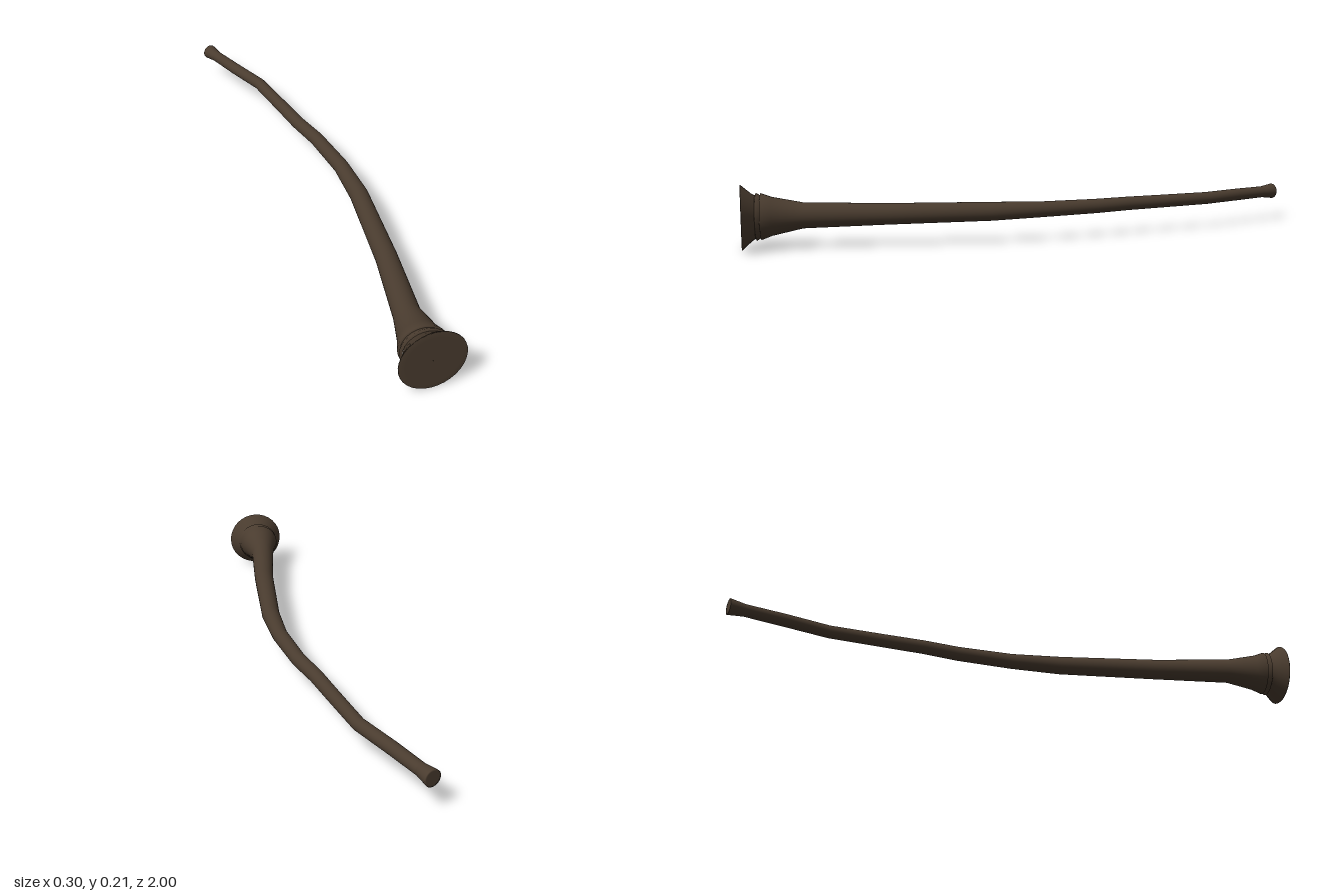
import * as THREE from 'three';

const SIDES = 32;
const AXIS_Y = 0.108;

// Skin of round sections: [x, z, radius, heading (dx/dz)], from mouthpiece to bell
function skin(sections) {
  const pos = [], index = [];
  for (const [x, z, r, slope] of sections) {
    const a = Math.atan(slope);
    for (let i = 0; i < SIDES; i++) {
      const t = (i / SIDES) * Math.PI * 2;
      pos.push(
        x + r * Math.cos(t) * Math.cos(a),
        AXIS_Y + r * Math.sin(t),
        z - r * Math.cos(t) * Math.sin(a)
      );
    }
  }
  for (let s = 0; s < sections.length - 1; s++) {
    for (let i = 0; i < SIDES; i++) {
      const j = (i + 1) % SIDES;
      const a = s * SIDES + i, b = s * SIDES + j;
      index.push(a, b, b + SIDES, a, b + SIDES, a + SIDES);
    }
  }
  const g = new THREE.BufferGeometry();
  g.setAttribute('position', new THREE.Float32BufferAttribute(pos, 3));
  g.setIndex(index);
  g.computeVertexNormals();
  return g;
}

export function createModel() {
  const group = new THREE.Group();
  group.name = 'curvedHorn';
  const wood = new THREE.MeshStandardMaterial({ color: 0x4a3c2f });
  const add = (name, sections) => {
    const mesh = new THREE.Mesh(skin(sections), wood);
    mesh.name = name;
    group.add(mesh);
  };

  // Small flared mouthpiece, closed at the tip
  add('mouthpiece', [
    [-0.126, -0.99, 0.0005, 0.36],
    [-0.126, -0.99, 0.022, 0.36],
    [-0.126, -0.99, 0.028, 0.36],
    [-0.108, -0.94, 0.021, 0.38],
  ]);

  // Long bent tube, widening towards the bell
  add('tube', [
    [-0.108, -0.94, 0.021, 0.38],
    [-0.06, -0.81, 0.022, 0.38],
    [0.0, -0.66, 0.022, 0.27],
    [0.034, -0.47, 0.023, 0.18],
    [0.058, -0.33, 0.024, 0.21],
    [0.09, -0.2, 0.025, 0.2],
    [0.116, 0.0, 0.027, 0.07],
    [0.117, 0.18, 0.032, -0.05],
    [0.082, 0.53, 0.036, -0.13],
    [0.042, 0.8, 0.043, -0.11],
    [0.037, 0.9, 0.064, -0.1],
    [0.036, 0.935, 0.077, -0.1],
    [0.036, 0.937, 0.066, -0.1],
  ]);

  // Raised collar between tube and bell
  add('collar', [
    [0.036, 0.93, 0.066, -0.08],
    [0.037, 0.95, 0.079, -0.08],
    [0.037, 0.954, 0.07, -0.08],
  ]);

  // Flared bell with a closed flat face
  add('bell', [
    [0.037, 0.945, 0.066, -0.04],
    [0.038, 0.965, 0.078, 0],
    [0.04, 0.998, 0.107, 0],
    [0.04, 1.0, 0.106, 0],
    [0.04, 1.0, 0.088, 0],
    [0.04, 1.0, 0.0005, 0],
  ]);
  return group;
}
